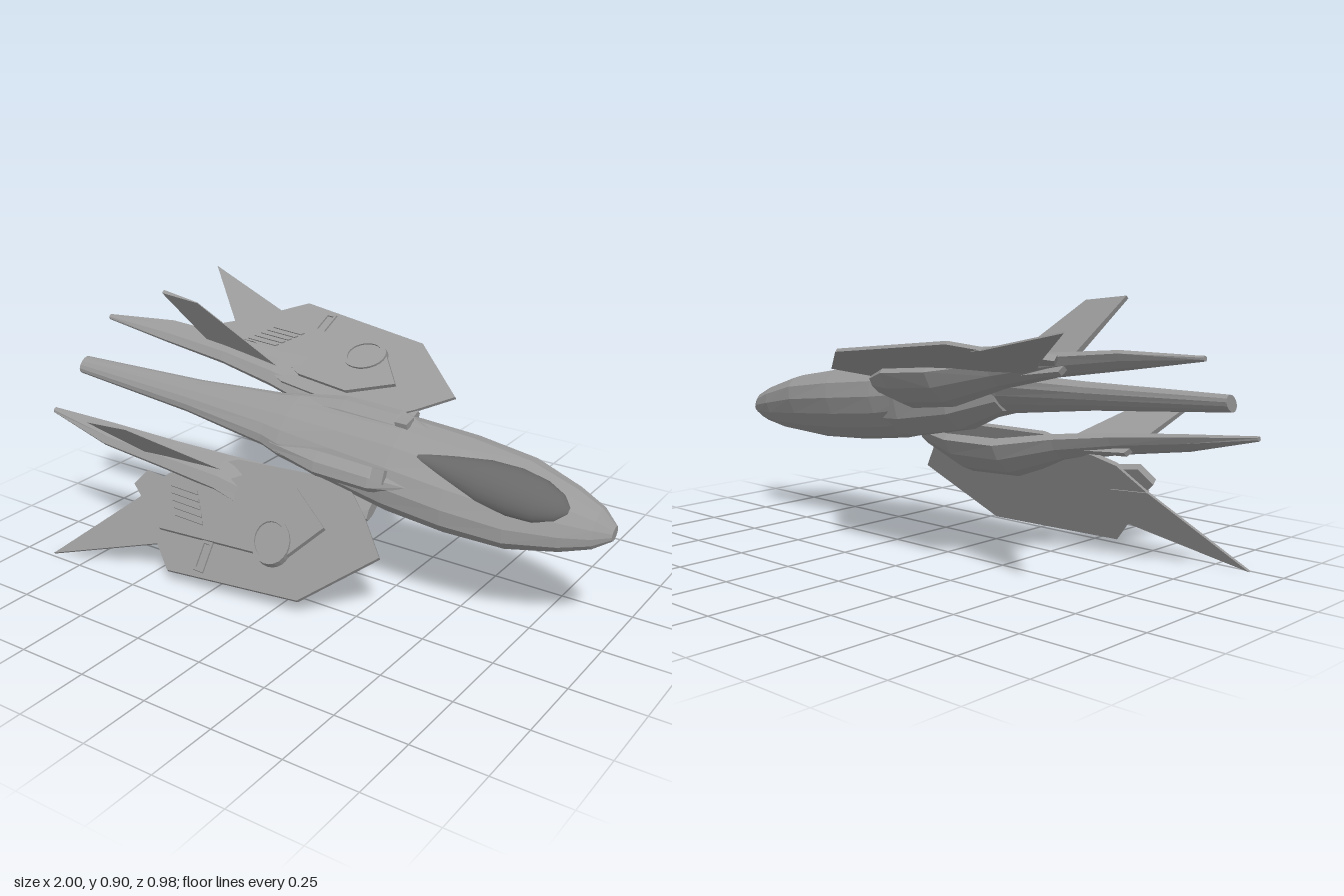
import * as THREE from 'three';

const hull = new THREE.MeshStandardMaterial({ color: 0x999999, flatShading: true });
hull.name = 'hull grey';
const glass = new THREE.MeshStandardMaterial({ color: 0x686868 });
glass.name = 'canopy dark grey';

// Closed skin over elliptical sections [x, y, z, halfWidth, halfHeight], nose to tail
function loft(sections, n) {
  const pos = [], idx = [];
  for (const [x, y, z, a, b] of sections)
    for (let j = 0; j < n; j++) {
      const t = ((j + 0.5) / n) * Math.PI * 2;
      pos.push(x, y + b * Math.sin(t), z + a * Math.cos(t));
    }
  const last = sections.length - 1;
  for (let i = 0; i < last; i++)
    for (let j = 0; j < n; j++) {
      const k = (j + 1) % n, p = i * n, q = p + n;
      idx.push(p + j, p + k, q + j, p + k, q + k, q + j);
    }
  for (let j = 1; j < n - 1; j++) {
    idx.push(0, j + 1, j);
    idx.push(last * n, last * n + j, last * n + j + 1);
  }
  const g = new THREE.BufferGeometry();
  g.setAttribute('position', new THREE.Float32BufferAttribute(pos, 3));
  g.setIndex(idx);
  g.computeVertexNormals();
  return g;
}

// Reverses the winding of every triangle
function flip(geo) {
  const g = geo.index ? geo.toNonIndexed() : geo;
  const p = g.attributes.position;
  const a = new THREE.Vector3(), b = new THREE.Vector3();
  for (let i = 0; i < p.count; i += 3) {
    a.fromBufferAttribute(p, i + 1);
    b.fromBufferAttribute(p, i + 2);
    p.setXYZ(i + 1, b.x, b.y, b.z);
    p.setXYZ(i + 2, a.x, a.y, a.z);
  }
  g.computeVertexNormals();
  return g;
}

// Moves each vertex by a rule
function remap(g, rule) {
  const p = g.attributes.position;
  for (let i = 0; i < p.count; i++) p.setXYZ(i, ...rule(p.getX(i), p.getY(i), p.getZ(i)));
  g.computeVertexNormals();
  return g;
}

const outline = (pts) => new THREE.Shape(pts.map(([x, y]) => new THREE.Vector2(x, y)));
const extrude = (shape, depth) =>
  new THREE.ExtrudeGeometry(shape, { depth, bevelEnabled: false, curveSegments: 12 });

// The drooping wing plane: height at length x and span w
const wingY = (x, w) => 0.172 - 0.107 * x - 0.407 * w;

// Plate lying on the wing plane, raised by lift
const plate = (shape, lift, depth) =>
  flip(remap(extrude(shape, depth), (x, w, d) => [x, wingY(x, w) + lift + d, w]));

// Skewed rectangle on the wing
const patch = (x, w, sx, sw, skew) => outline([
  [x - sx / 2 - skew, w - sw / 2], [x + sx / 2 - skew, w - sw / 2],
  [x + sx / 2 + skew, w + sw / 2], [x - sx / 2 + skew, w + sw / 2]]);

export function createModel() {
  const model = new THREE.Group();
  model.name = 'starfighter';
  const ship = new THREE.Group();
  ship.name = 'bankedShip';
  ship.rotation.x = 0.709;
  ship.position.y = 0.43;
  model.add(ship);

  const add = (name, geo, mat = hull) => {
    const m = new THREE.Mesh(geo, mat);
    m.name = name;
    ship.add(m);
  };
  const addPair = (name, geo) => {
    add(name + 'Left', geo);
    add(name + 'Right', flip(geo.clone().scale(1, 1, -1)));
  };

  // Fuselage with long tapering tail
  add('fuselage', loft([
    [1.0, -0.028, 0, 0.026, 0.018], [0.95, -0.019, 0, 0.07, 0.045],
    [0.86, -0.008, 0, 0.11, 0.066], [0.7, 0.016, 0, 0.157, 0.088],
    [0.5, 0.048, 0, 0.17, 0.104], [0.3, 0.083, 0, 0.165, 0.11],
    [0.1, 0.12, 0, 0.142, 0.088], [-0.1, 0.168, 0, 0.12, 0.055],
    [-0.17, 0.176, 0, 0.1, 0.048], [-0.5, 0.2, 0, 0.063, 0.036],
    [-1.0, 0.231, 0, 0.034, 0.022]], 14));

  // Belly block
  add('belly', loft([
    [0.36, 0.05, 0, 0.09, 0.07], [0.2, 0.068, 0, 0.13, 0.088],
    [0.0, 0.113, 0, 0.12, 0.085], [-0.16, 0.165, 0, 0.07, 0.05]], 8));

  // Teardrop canopy
  add('canopy', loft([
    [0.87, 0.046, 0, 0.015, 0.01], [0.84, 0.05, 0, 0.048, 0.033],
    [0.78, 0.061, 0, 0.074, 0.052], [0.7, 0.076, 0, 0.085, 0.065],
    [0.6, 0.093, 0, 0.079, 0.064], [0.5, 0.119, 0, 0.054, 0.047],
    [0.38, 0.162, 0, 0.014, 0.014]], 24), glass);

  // Shoulder humps with small vents
  addPair('shoulder', loft([
    [0.38, 0.13, 0.1, 0.015, 0.02], [0.26, 0.15, 0.1, 0.05, 0.034],
    [0.06, 0.163, 0.1, 0.05, 0.037], [-0.13, 0.175, 0.085, 0.025, 0.026]], 8));
  addPair('shoulderVent', new THREE.BoxGeometry(0.045, 0.024, 0.045)
    .rotateX(0.45).translate(0.29, 0.174, 0.1));

  // Flat pods under the wing roots that run back into pointed booms
  addPair('boom', loft([
    [0.25, 0.05, 0.16, 0.05, 0.02], [0.1, 0.026, 0.2, 0.11, 0.036],
    [-0.1, 0.044, 0.215, 0.105, 0.04], [-0.3, 0.114, 0.213, 0.07, 0.031],
    [-0.5, 0.162, 0.22, 0.056, 0.024], [-0.75, 0.203, 0.222, 0.045, 0.017],
    [-1.0, 0.243, 0.206, 0.01, 0.008]], 8));

  // Wing slab, raised inner panel and swept rear spike
  addPair('wing', plate(outline([
    [0.33, 0.306], [0.09, 0.51], [-0.41, 0.563], [-0.48, 0.49], [-0.59, 0.37],
    [-0.5, 0.27], [-0.25, 0.16], [0.15, 0.12], [0.24, 0.2]]), -0.008, 0.013));
  addPair('wingPanel', plate(outline([
    [0.126, 0.28], [0.008, 0.412], [-0.475, 0.45], [-0.615, 0.343], [-0.575, 0.288],
    [-0.45, 0.293], [-0.31, 0.262], [-0.206, 0.205], [-0.008, 0.19]]), 0, 0.022));
  addPair('wingSpike', plate(outline([
    [-0.45, 0.36], [-0.44, 0.49], [-0.484, 0.495], [-0.885, 0.643], [-0.59, 0.366]]), -0.01, 0.007));

  // Round hatch ring
  const ring = new THREE.Shape().absarc(-0.045, 0.372, 0.072, 0, Math.PI * 2);
  ring.holes.push(new THREE.Path().absarc(-0.045, 0.372, 0.058, 0, Math.PI * 2, true));
  addPair('hatchRing', plate(ring, 0, 0.031));
  addPair('hatchDisc', plate(new THREE.Shape().absarc(-0.045, 0.372, 0.06, 0, Math.PI * 2), 0, 0.024));

  // Slanted grille bars and outer slot frame
  for (let i = 0; i < 5; i++)
    addPair('grilleBar' + (i + 1),
      plate(patch(-0.415 + i * 0.012, 0.306 + i * 0.021, 0.115, 0.012, 0.003), 0.018, 0.01));
  const slot = patch(-0.285, 0.483, 0.04, 0.1, -0.005);
  slot.holes.push(patch(-0.285, 0.483, 0.024, 0.078, -0.004));
  addPair('slotFrame', plate(slot, 0, 0.012));

  // Splayed tail fins, sharp at the leading edge and thicker behind it
  addPair('tailFin', remap(extrude(outline([
    [-0.25, 0.095], [-0.535, 0.385], [-0.69, 0.397], [-0.55, 0.13]]), 1), (x, y, d) => {
    const behind = -0.25 - (y - 0.095) * 0.983 - x;
    return [x, y, 0.203 + (y - 0.1) * 0.19 + behind * (0.02 + 0.075 * d) + 0.003 * d];
  }));

  return model;
}
